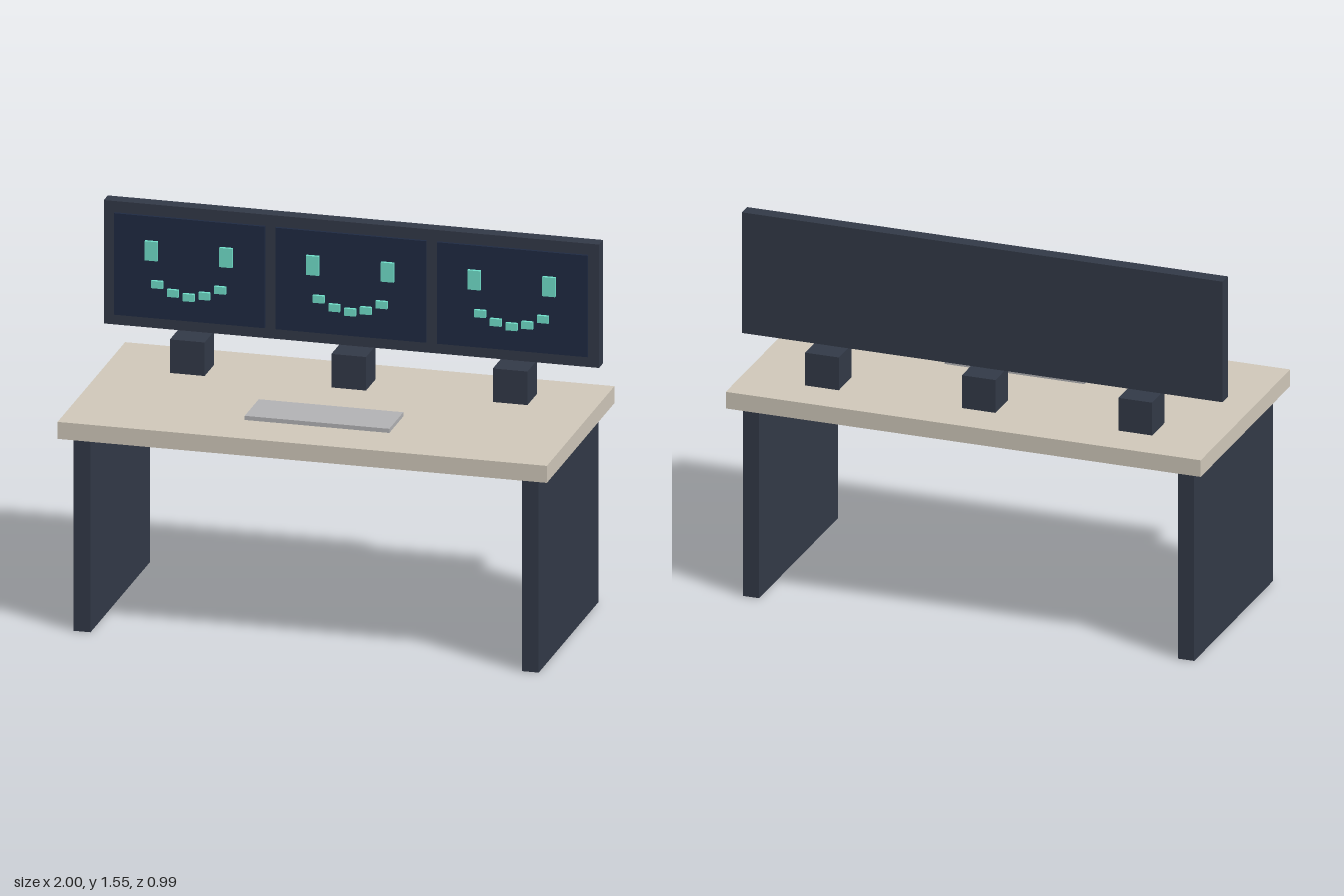
import * as THREE from 'three';

const material = (color) => new THREE.MeshStandardMaterial({ color });

export function createModel() {
  const model = new THREE.Group();
  model.name = 'tripleScreenDesk';
  const dark = material(0x323947);
  const wood = material(0xd0c8ba);
  const keys = material(0xb2b2b4);
  const glass = material(0x1f2a42);
  const glow = material(0x70dfca);

  // Box given by its minimum and maximum on each axis
  function box(name, mat, [x0, x1], [y0, y1], [z0, z1], parent = model) {
    const mesh = new THREE.Mesh(new THREE.BoxGeometry(x1 - x0, y1 - y0, z1 - z0), mat);
    mesh.position.set((x0 + x1) / 2, (y0 + y1) / 2, (z0 + z1) / 2);
    mesh.name = name;
    parent.add(mesh);
  }
  const around = (c, size) => [c - size / 2, c + size / 2];

  // Desk
  box('desktop', wood, [-0.988, 0.988], [0.805, 0.875], [-0.494, 0.494]);
  box('leftLegPanel', dark, around(0.905, 0.068), [0, 0.805], [-0.436, 0.436]);
  box('rightLegPanel', dark, around(-0.905, 0.068), [0, 0.805], [-0.436, 0.436]);
  box('keyboard', keys, [-0.292, 0.292], [0.875, 0.892], [0.072, 0.278]);

  // Wide housing shared by the three screens
  box('screenHousing', dark, [-1, 1], [1.04, 1.548], [-0.284, -0.226]);

  for (const x of [-0.652, 0, 0.652]) {
    box('stand', dark, around(x, 0.14), [0.875, 1.013], [-0.324, -0.186]);

    // Screen with a face of raised blocks
    const screen = new THREE.Group();
    screen.name = 'screen';
    screen.position.x = x;
    model.add(screen);
    box('screenGlass', glass, around(0, 0.608), [1.084, 1.502], [-0.23, -0.214], screen);
    for (const side of [-1, 1])
      box('eye', glow, around(side * 0.151, 0.052), [1.324, 1.403], [-0.217, -0.2], screen);
    [1.227, 1.197, 1.185, 1.197, 1.227].forEach((y, i) =>
      box('mouthBlock', glow, around((i - 2) * 0.0635, 0.046), around(y, 0.03), [-0.217, -0.2], screen));
  }
  return model;
}
